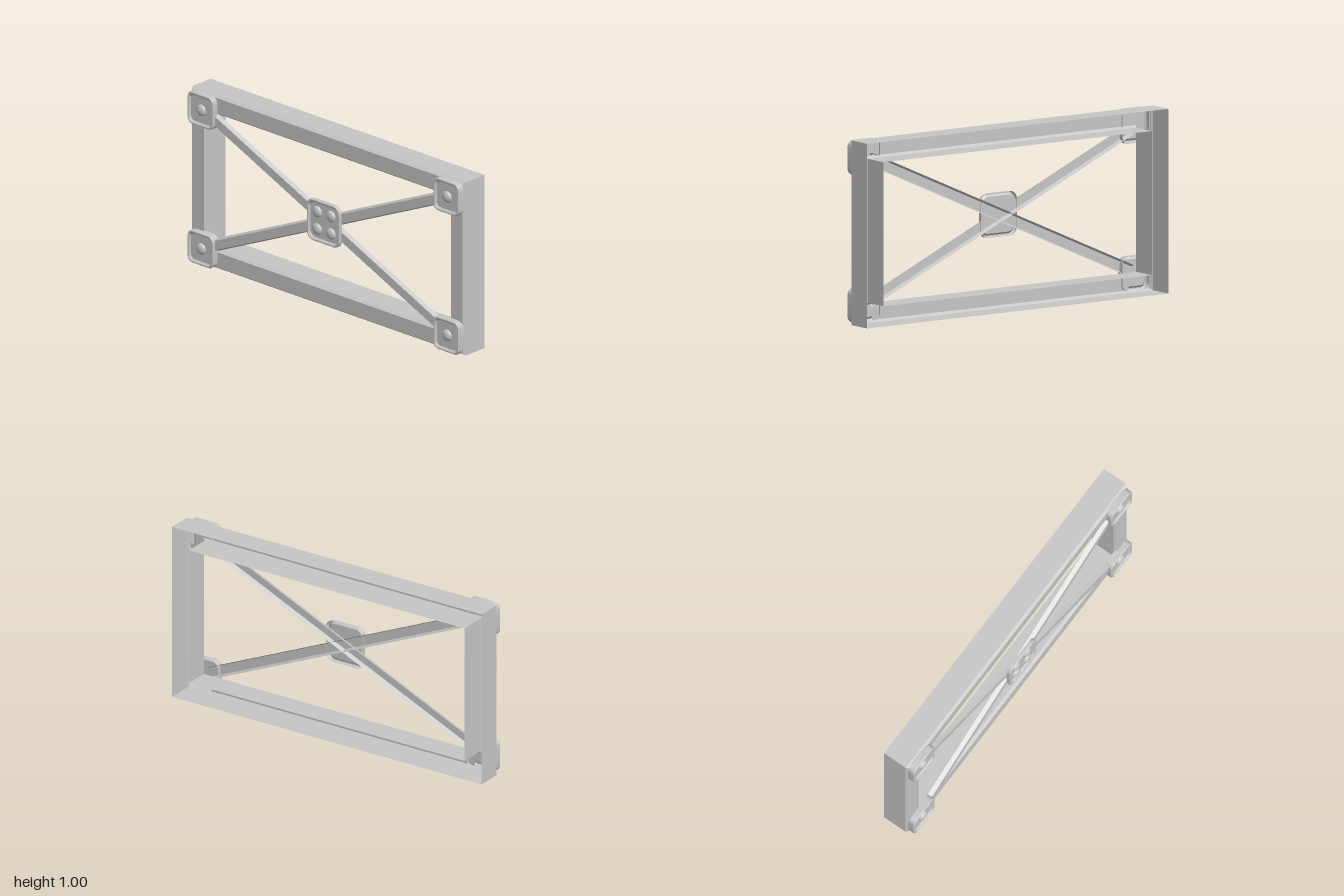
import * as THREE from 'three';
import { toCreasedNormals } from 'three/addons/utils/BufferGeometryUtils.js';

// Skin between rows of points; closed rows form rings, capped rows end in a fan
function loft(rows, closed, capped = false) {
  const out = [];
  const n = rows[0].length;
  for (let i = 0; i < rows.length - 1; i++) {
    for (let j = 0; j < (closed ? n : n - 1); j++) {
      const k = (j + 1) % n;
      const a = rows[i][j], b = rows[i][k], c = rows[i + 1][k], d = rows[i + 1][j];
      out.push(...a, ...b, ...c, ...a, ...c, ...d);
    }
  }
  if (capped) {
    const last = rows[rows.length - 1];
    for (let j = 0; j < n; j++) out.push(0, 0, last[0][2], ...last[j], ...last[(j + 1) % n]);
  }
  const g = new THREE.BufferGeometry();
  g.setAttribute('position', new THREE.Float32BufferAttribute(out, 3));
  g.computeVertexNormals();
  return toCreasedNormals(g, 0.5);
}

// Counter-clockwise rectangle loop, with rounded corners when r > 0
function rectLoop(w, h, z, r = 0, steps = 6) {
  const pts = [];
  [[1, 1], [-1, 1], [-1, -1], [1, -1]].forEach(([sx, sy], q) => {
    if (r === 0) return pts.push([sx * w, sy * h, z]);
    for (let s = 0; s <= steps; s++) {
      const a = (q + s / steps) * Math.PI / 2;
      pts.push([sx * (w - r) + Math.cos(a) * r, sy * (h - r) + Math.sin(a) * r, z]);
    }
  });
  return pts;
}

export function createModel() {
  const grey = new THREE.MeshStandardMaterial({ color: 0xc6c6c6, side: THREE.DoubleSide });
  grey.name = 'light grey';
  const model = new THREE.Group();
  model.name = 'bracedFrame';

  function add(name, geometry, x, y, z, parent = model) {
    const m = new THREE.Mesh(geometry, grey);
    m.name = name;
    m.position.set(x, y, z);
    parent.add(m);
    return m;
  }

  // Outer and inner channel walls with bevelled front edges, open at the back
  add('outerWall', loft([
    rectLoop(1, 0.5, -0.1), rectLoop(1, 0.5, 0.042), rectLoop(0.988, 0.488, 0.058),
  ], true), 0, 0.5, 0);
  add('innerWall', loft([
    rectLoop(0.902, 0.402, 0.058), rectLoop(0.89, 0.39, 0.042), rectLoop(0.89, 0.39, -0.1),
  ], true), 0, 0.5, 0);

  // Front faces of the beams, left open behind the corner plates
  for (const s of [-1, 1]) {
    add('railFace', new THREE.PlaneGeometry(1.7, 0.086), 0, 0.5 + s * 0.445, 0.058);
    add('postFace', new THREE.PlaneGeometry(0.086, 0.7), s * 0.945, 0.5, 0.058);
  }

  // Diagonal braces: shallow channels with sloping sides
  const half = 0.95;
  const profile = [[-0.034, 0.05], [-0.025, 0.074], [0.025, 0.074], [0.034, 0.05]];
  const braceShape = loft(profile.map(([y, z]) => [[-half, y, z], [half, y, z]]), false);
  for (const s of [-1, 1]) {
    add('diagonalBrace', braceShape, 0, 0.5, 0).rotation.z = s * Math.atan2(0.4, 0.9);
  }

  // Low domed rivet head
  const domePoints = [];
  for (let i = 0; i <= 5; i++) {
    const a = (i / 5) * Math.PI / 2;
    domePoints.push(new THREE.Vector2(0.033 * Math.cos(a), 0.018 * Math.sin(a)));
  }
  const dome = new THREE.LatheGeometry(domePoints, 16).rotateX(Math.PI / 2);

  // Hollow tray-shaped plate with a raised rim
  function plate(name, size, r, back, x, y, rivets) {
    const group = new THREE.Group();
    group.name = name;
    group.position.set(x, y, 0);
    add('plateShell', loft([
      rectLoop(size, size, back, r),
      rectLoop(size, size, 0.088, r),
      rectLoop(size - 0.004, size - 0.004, 0.093, r - 0.004),
      rectLoop(size - 0.01, size - 0.01, 0.093, r - 0.008),
      rectLoop(size - 0.02, size - 0.02, 0.082, r - 0.012),
    ], true, true), 0, 0, 0, group);
    for (const [rx, ry] of rivets) add('rivet', dome, rx, ry, 0.082, group);
    model.add(group);
  }

  for (const sx of [-1, 1]) {
    for (const sy of [-1, 1]) {
      plate('cornerPlate', 0.094, 0.036, 0.048, sx * 0.898, 0.5 + sy * 0.4, [[0, 0]]);
    }
  }
  const o = 0.05;
  plate('centrePlate', 0.12, 0.045, 0.07, 0, 0.5, [[-o, -o], [o, -o], [-o, o], [o, o]]);

  return model;
}
